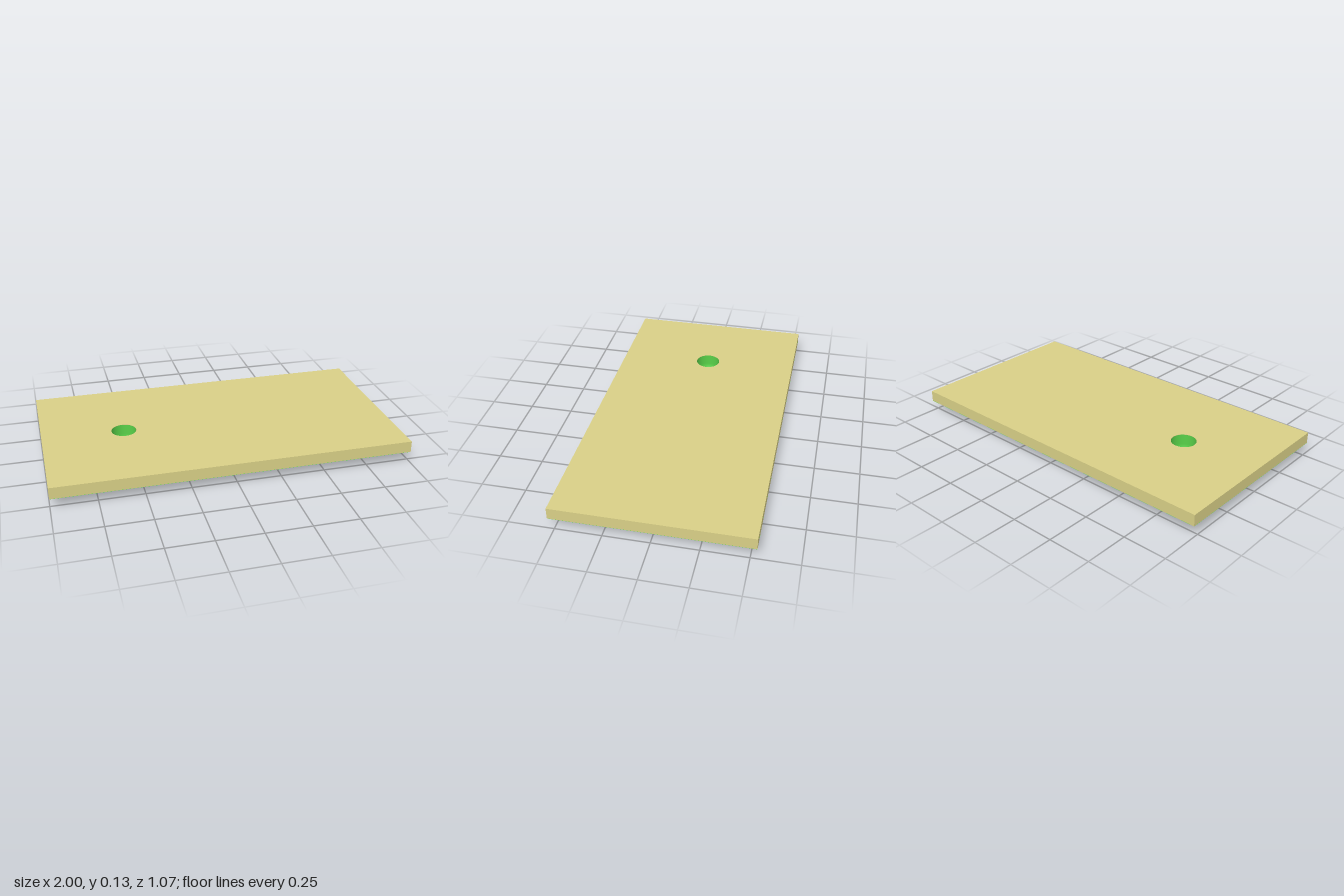
import * as THREE from 'three';

const HALF_X = 1, HALF_Z = 0.533;      // board half sizes
const BOTTOM = 0.064, TOP = 0.129;     // board faces
const CX = -0.535, R = 0.07;           // cup position and radius

export function createModel() {
  const group = new THREE.Group();
  const tan = new THREE.MeshStandardMaterial({ color: 0xd8cf86 });
  const green = new THREE.MeshStandardMaterial({ color: 0x58d048, side: THREE.DoubleSide });
  const add = (name, geometry, material) => {
    const mesh = new THREE.Mesh(geometry, material);
    mesh.name = name;
    group.add(mesh);
    return mesh;
  };

  // Flat board with a round hole
  const outline = new THREE.Shape([
    new THREE.Vector2(-HALF_X, -HALF_Z), new THREE.Vector2(HALF_X, -HALF_Z),
    new THREE.Vector2(HALF_X, HALF_Z), new THREE.Vector2(-HALF_X, HALF_Z),
  ]);
  outline.holes.push(new THREE.Path().absarc(CX, 0, R + 0.001, 0, Math.PI * 2, true));
  const board = new THREE.ExtrudeGeometry(outline, {
    depth: TOP - BOTTOM, bevelEnabled: false, curveSegments: 32,
  });
  board.rotateX(-Math.PI / 2).translate(0, BOTTOM, 0);
  add('board', board, tan);

  // Open cup lining the hole, with a round bottom below the board
  const profile = [];
  for (let i = 0; i <= 16; i++) {
    const a = (i / 16) * Math.PI / 2;
    profile.push(new THREE.Vector2(R * Math.sin(a), R - R * Math.cos(a)));
  }
  profile.push(new THREE.Vector2(R, TOP - 0.001));
  add('cup', new THREE.LatheGeometry(profile, 48), green).position.x = CX;

  // Sheet under the board, sloping from the board's edges down to the cup
  const angles = [];
  for (let i = 0; i < 48; i++) angles.push((i / 48) * Math.PI * 2 - Math.PI);
  for (const sx of [-1, 1]) for (const sz of [-1, 1]) {
    angles.push(Math.atan2(sz * HALF_Z, sx * HALF_X - CX));
  }
  angles.sort((a, b) => a - b);
  const ringY = 0.045, ringR = Math.sqrt(R * R - (R - ringY) ** 2);
  const positions = [], index = [], n = angles.length;
  angles.forEach((a, i) => {
    const c = Math.cos(a), s = Math.sin(a);
    const reach = Math.min(
      ((c > 0 ? HALF_X : -HALF_X) - CX) / (Math.abs(c) > 1e-6 ? c : 1e-6),
      HALF_Z / Math.max(Math.abs(s), 1e-6),
    );
    positions.push(CX + ringR * c, ringY, ringR * s);
    positions.push(CX + reach * c, BOTTOM - 0.001, reach * s);
    const p = 2 * i, q = 2 * ((i + 1) % n);
    index.push(p, p + 1, q, q, p + 1, q + 1);
  });
  const sheet = new THREE.BufferGeometry();
  sheet.setAttribute('position', new THREE.Float32BufferAttribute(positions, 3));
  sheet.setIndex(index);
  sheet.computeVertexNormals();
  add('undersheet', sheet, green);

  return group;
}
